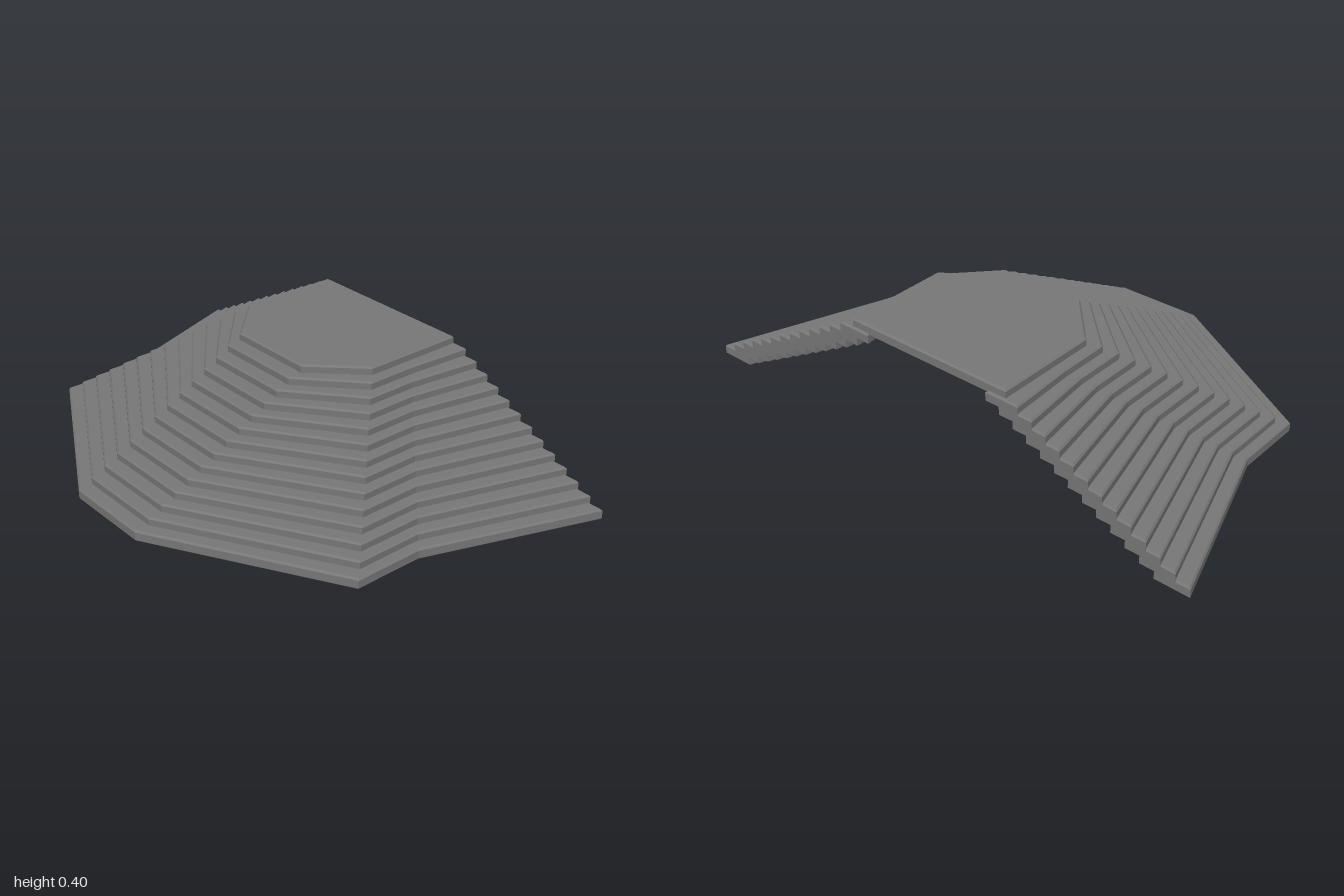
import * as THREE from 'three';

const LEVELS = 14, RISE = 0.028, THICK = 0.04, BACK = -0.615;

// Half outline [x, z] of a step, from the back corner to the front, at any level
function halfOutline(level, back = BACK) {
  const t = level / (LEVELS - 1);
  const mix = (a, b) => a + (b - a) * t;
  return [
    [mix(1, 0.32), back],
    [mix(0.79, 0.32), mix(0, -0.405)],
    [mix(0.79, 0.32), mix(0.25, -0.23)],
    [0.16, mix(0.615, -0.06)],
  ];
}

// Whole outline, from the left back corner round the front to the right back corner
function outline(level, back) {
  const half = halfOutline(level, back);
  return [...half, ...half.slice().reverse().map(([x, z]) => [-x, z])];
}

// Flat slab with a small bevel, standing from y = 0 to THICK
function slab(points) {
  const bevel = 0.006;
  const shape = new THREE.Shape(points.map(([x, z]) => new THREE.Vector2(x, -z)));
  const geometry = new THREE.ExtrudeGeometry(shape, {
    depth: THICK - 2 * bevel, bevelEnabled: true, bevelThickness: bevel,
    bevelSize: bevel, bevelOffset: -bevel, bevelSegments: 1,
  });
  geometry.translate(0, 0, bevel);
  geometry.rotateX(-Math.PI / 2);
  return geometry;
}

export function createModel() {
  const group = new THREE.Group();
  const stone = new THREE.MeshStandardMaterial({ color: 0x777777 });
  stone.name = 'grey stone';

  const add = (name, geometry, x, y, z) => {
    const mesh = new THREE.Mesh(geometry, stone);
    mesh.name = name;
    mesh.position.set(x, y, z);
    group.add(mesh);
  };

  // Open bands that climb towards the platform
  for (let i = 0; i < LEVELS - 1; i++) {
    const band = [...outline(i), ...outline(i + 2.4).reverse()];
    add('step' + (i + 1), slab(band), 0, i * RISE, 0);
  }

  // Solid top step
  add('platform', slab(outline(LEVELS - 1, -0.607)), 0, (LEVELS - 1) * RISE, 0);

  // Two stacked-block supports beneath the front flight
  for (const side of [-1, 1]) {
    for (let i = 0; i < LEVELS - 2; i++) {
      const front = halfOutline(i)[3][1] - 0.04;
      const back = i % 2 ? -0.11 : -0.14;
      add('support', new THREE.BoxGeometry(0.05, RISE, front - back),
        side * 0.16, (i + 0.5) * RISE + 0.004, (front + back) / 2);
    }
  }
  return group;
}
